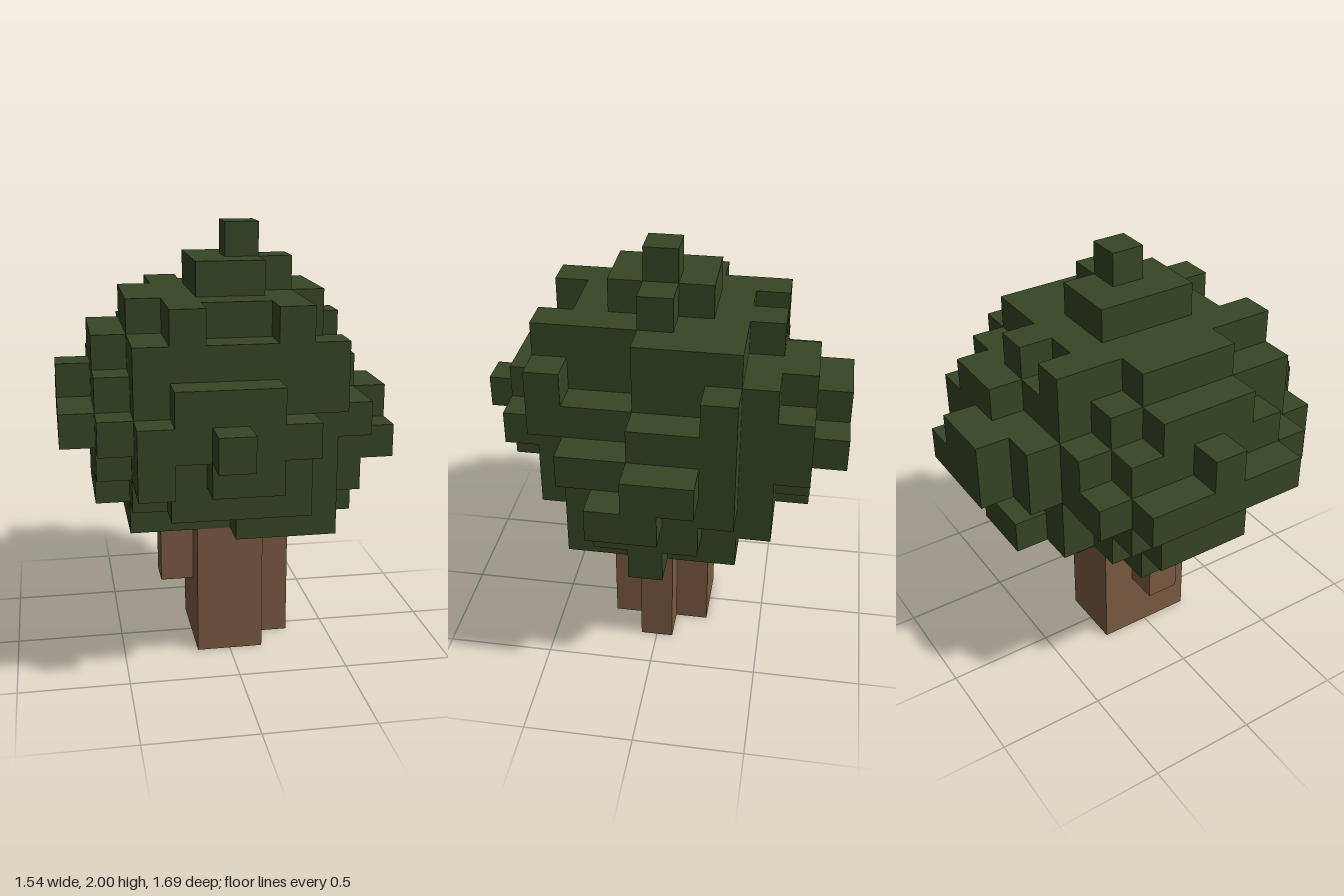
import * as THREE from 'three';
import { mergeGeometries } from 'three/addons/utils/BufferGeometryUtils.js';

const S = 2 / 13; // edge of one block; the tree fills a grid of 10 x 13 x 11 blocks
const NX = 10, NY = 13, NZ = 11;
const TRUNK_HEIGHT = 4;

// Squared radius of the rounded crown in each layer, bottom to top
const CROWN_REACH = [8, 13.5, 15, 21.7, 20.8, 14.5, 9, 1.7, 0];

// Blocks standing out of each round layer, as [x, z]
const BUMPS = [
  [[7, 3], [7, 7], [8, 5]],
  [[4, 1], [5, 1], [7, 2]],
  [[1, 3], [1, 7], [2, 8], [2, 9], [4, 9], [5, 9], [6, 1], [7, 2], [8, 3], [9, 5], [9, 6]],
  [[0, 3], [0, 7], [2, 9], [4, 0], [5, 0], [6, 0], [4, 10], [7, 1]],
  [[4, 0], [5, 0], [7, 1]],
  [[2, 8], [5, 1], [6, 1], [7, 2], [7, 8], [8, 3]],
  [[3, 2], [3, 8], [5, 2], [6, 8], [7, 3]],
  [[6, 5]],
  [[5, 5]],
];

// Blocks missing from the round layers, as [x, z]
const DENTS = [
  [[3, 3], [3, 7], [4, 7]],
  [],
  [],
  [[7, 8], [8, 8], [8, 2], [9, 6]],
  [[6, 9], [8, 6], [8, 7], [9, 5]],
  [[7, 6], [7, 7], [8, 4], [8, 5], [8, 6]],
  [[7, 6]],
  [],
  [],
];

const lists = (blocks, x, z) => blocks.some(([bx, bz]) => bx === x && bz === z);

function inCrown(x, y, z) {
  const layer = y - TRUNK_HEIGHT;
  if (layer < 0 || layer >= CROWN_REACH.length) return false;
  if (lists(BUMPS[layer], x, z)) return true;
  const round = (x - 4.5) ** 2 + (z - 5) ** 2 <= CROWN_REACH[layer];
  return round && !lists(DENTS[layer], x, z);
}

// Thick post, a rib on its left and a short branch stub on its right
function inTrunk(x, y, z) {
  if (y < 0 || y >= TRUNK_HEIGHT) return false;
  const post = (x === 4 || x === 5) && Math.abs(z - 5) <= 1;
  const rib = x === 6 && z === 5;
  const stub = x === 3 && z === 5 && y >= 2;
  return post || rib || stub;
}

// One outward square for each side of a block
const sides = [
  [1, 0, 0, 'rotateY', Math.PI / 2], [-1, 0, 0, 'rotateY', -Math.PI / 2],
  [0, 1, 0, 'rotateX', -Math.PI / 2], [0, -1, 0, 'rotateX', Math.PI / 2],
  [0, 0, 1, 'rotateY', 0], [0, 0, -1, 'rotateY', Math.PI],
].map(([x, y, z, turn, angle]) => ({
  x, y, z,
  face: new THREE.PlaneGeometry(S, S)[turn](angle).translate(x * S / 2, y * S / 2, z * S / 2),
}));

// Builds the exposed faces of all blocks that pass the test
function blockGeometry(isFilled) {
  const faces = [];
  for (let x = 0; x < NX; x++)
    for (let y = 0; y < NY; y++)
      for (let z = 0; z < NZ; z++) {
        if (!isFilled(x, y, z)) continue;
        for (const s of sides) {
          if (isFilled(x + s.x, y + s.y, z + s.z)) continue;
          faces.push(s.face.clone().translate(
            (x + 0.5 - NX / 2) * S, (y + 0.5) * S, (z + 0.5 - NZ / 2) * S));
        }
      }
  return mergeGeometries(faces);
}

export function createModel() {
  const bark = new THREE.MeshStandardMaterial({ color: 0x7b5a42 });
  bark.name = 'bark brown';
  const leaf = new THREE.MeshStandardMaterial({ color: 0x354624 });
  leaf.name = 'leaf green';

  const tree = new THREE.Group();
  tree.name = 'blockTree';

  const trunk = new THREE.Mesh(blockGeometry(inTrunk), bark);
  trunk.name = 'trunk';
  const crown = new THREE.Mesh(blockGeometry(inCrown), leaf);
  crown.name = 'leafCrown';

  tree.add(trunk, crown);
  return tree;
}
